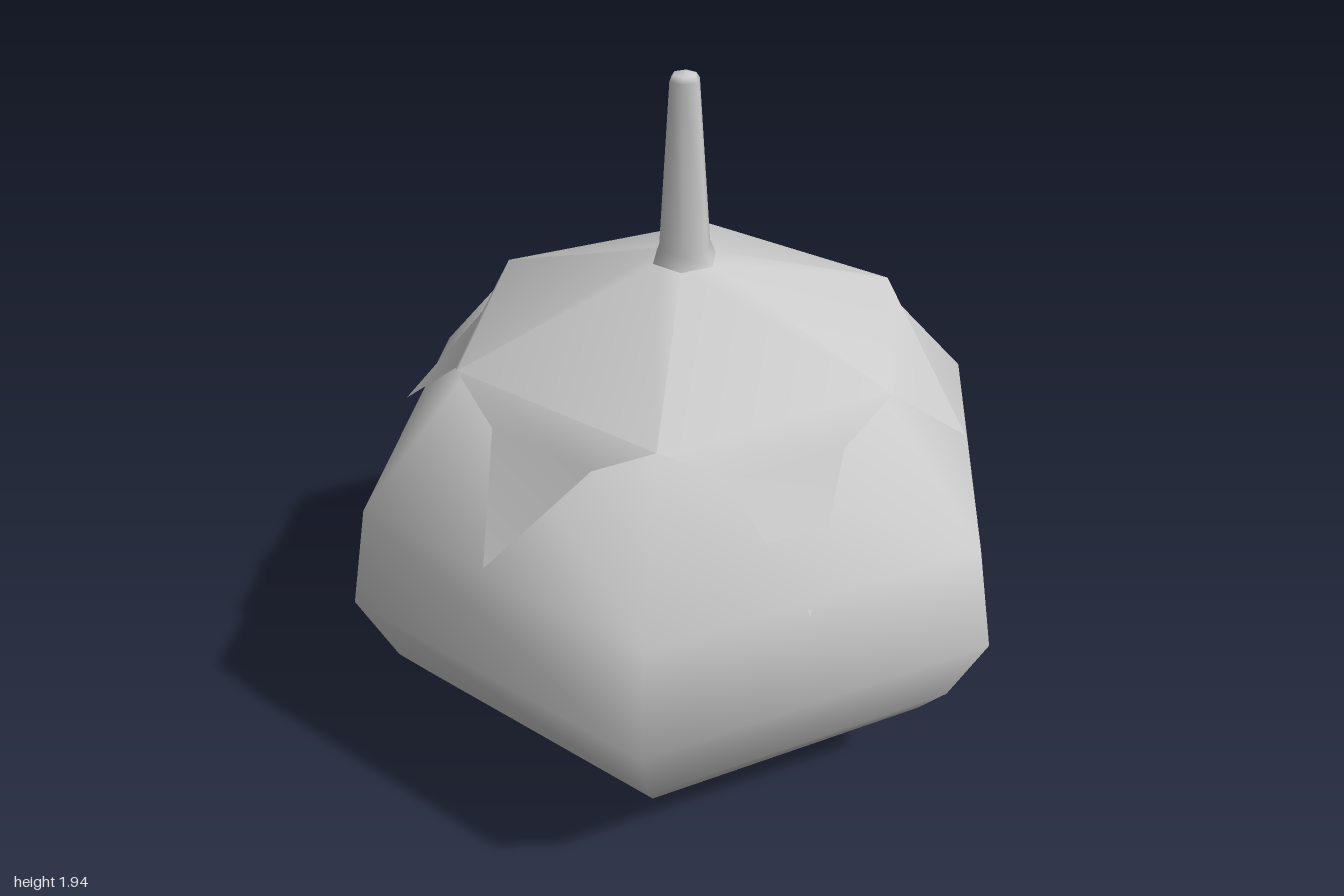
import * as THREE from 'three';
import { toCreasedNormals } from 'three/addons/utils/BufferGeometryUtils.js';

const material = new THREE.MeshStandardMaterial({ color: 0xcccccc, side: THREE.DoubleSide });
const SIDES = 6;

// Six-sided, smooth-shaded solid from [radius, height] pairs, bottom to top
function hexLathe(name, profile) {
  const points = profile.map(([r, y]) => new THREE.Vector2(r, y));
  const mesh = new THREE.Mesh(new THREE.LatheGeometry(points, SIDES), material);
  mesh.name = name;
  return mesh;
}

// Leafy cap: a shallow hexagonal cone with one drooping, pointed leaf per side
function makeCalyx() {
  const ring = (i, r, y) => {
    const a = (i * Math.PI * 2) / SIDES;
    return new THREE.Vector3(r * Math.sin(a), y, r * Math.cos(a));
  };
  // Leaf tips, counter-clockwise from the front left; the first leaf is straight-edged
  const tips = [
    [0.41, 0.9, 0.69], [0.8, 0.86, 0.02], [0.4, 0.86, -0.68],
    [-0.4, 0.92, -0.72], [-0.82, 0.88, -0.03], [-0.44, 0.83, 0.7],
  ].map((p) => new THREE.Vector3(...p));

  const corners = [];
  const tri = (...p) => p.forEach((v) => corners.push(v.x, v.y, v.z));

  tips.forEach((tip, i) => {
    const c0 = ring(i, 0.08, 1.43), c1 = ring(i + 1, 0.08, 1.43);
    const n0 = ring(i, 0.65, 1.23), n1 = ring(i + 1, 0.65, 1.23);
    // Points halfway down each leaf edge
    let m0, m1;
    if (i === 0) {
      m0 = n0.clone().lerp(tip, 0.45);
      m1 = n1.clone().lerp(tip, 0.45);
    } else {
      m0 = n0.clone().lerp(n1, 0.27).setY(1.14);
      m1 = n0.clone().lerp(n1, 0.73).setY(1.14);
      for (const m of [m0, m1]) { m.x *= 1.09; m.z *= 1.09; }
    }
    tri(c0, n0, n1);
    tri(c0, n1, c1);
    tri(n0, m0, m1);
    tri(n0, m1, n1);
    tri(m0, tip, m1);
  });

  const geometry = new THREE.BufferGeometry();
  geometry.setAttribute('position', new THREE.Float32BufferAttribute(corners, 3));
  const mesh = new THREE.Mesh(toCreasedNormals(geometry, THREE.MathUtils.degToRad(42)), material);
  mesh.name = 'calyx';
  return mesh;
}

export function createModel() {
  const group = new THREE.Group();
  group.name = 'fruit';

  // Plump, squat body
  group.add(hexLathe('body', [
    [0, 0], [0.385, 0.03], [0.57, 0.1], [0.82, 0.24], [0.9, 0.34],
    [1, 0.57], [0.94, 0.865], [0.635, 1.205], [0, 1.25],
  ]));

  group.add(makeCalyx());

  // Tapering stem with a flared foot and a rounded end
  group.add(hexLathe('stem', [
    [0.095, 1.42], [0.075, 1.465], [0.042, 1.92], [0.032, 1.935], [0, 1.94],
  ]));

  return group;
}
